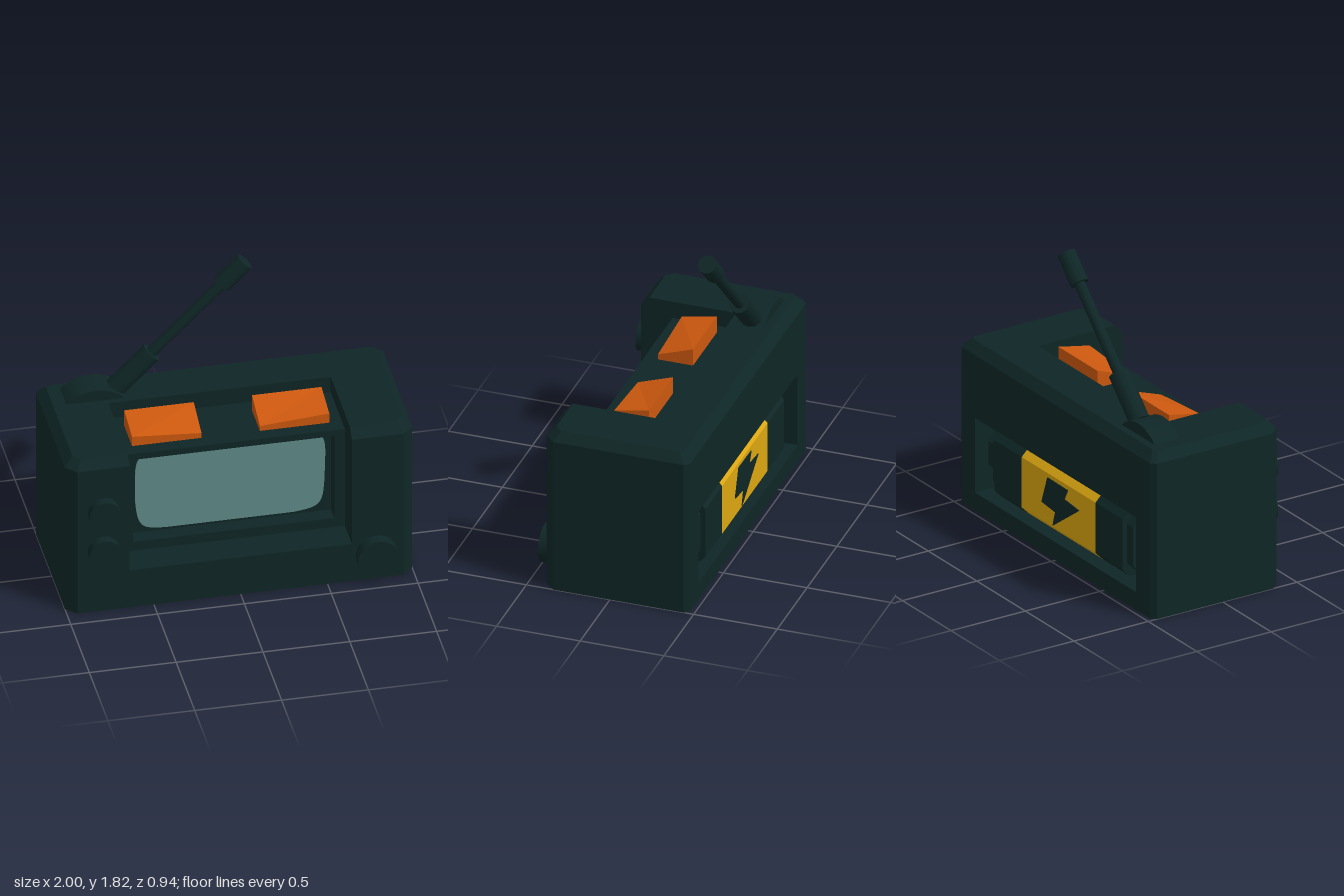
import * as THREE from 'three';

const mat = (name, color, extra = {}) => Object.assign(new THREE.MeshStandardMaterial({ color, ...extra }), { name });
const poly = pts => new THREE.Shape(pts.map(p => new THREE.Vector2(p[0], p[1])));

export function createModel() {
  const root = new THREE.Group();
  const casing = mat('dark casing', 0x0f2626);
  const orange = mat('orange button', 0xcc580f);
  const yellow = mat('yellow label', 0xdba612);
  const glass = mat('screen glass', 0x608c89);

  const add = (name, geo, material, x = 0, y = 0, z = 0, parent = root) => {
    const m = new THREE.Mesh(geo, material);
    m.name = name;
    m.position.set(x, y, z);
    parent.add(m);
    return m;
  };
  // box given by its limits
  const box = (name, x0, x1, y0, y1, z0, z1, material = casing) =>
    add(name, new THREE.BoxGeometry(x1 - x0, y1 - y0, z1 - z0), material, (x0 + x1) / 2, (y0 + y1) / 2, (z0 + z1) / 2);
  // rectangular frame extruded along z
  const frame = (name, w, y0, y1, hw, h0, h1, z0, depth) => {
    const s = poly([[-w, y0], [w, y0], [w, y1], [-w, y1]]);
    s.holes.push(new THREE.Path([[-hw, h0], [-hw, h1], [hw, h1], [hw, h0]].map(p => new THREE.Vector2(...p))));
    return add(name, new THREE.ExtrudeGeometry(s, { depth, bevelEnabled: false }), casing, 0, 0, z0);
  };

  // U-shaped shell: plan outline lofted upwards, with a chamfered top edge
  const mirrored = half => [...half, ...half.slice().reverse().map(([x, z]) => [-x, z])];
  const plan = mirrored([[0.64, -0.17], [0.64, 0.4], [0.94, 0.4], [1, 0.34], [1, -0.44], [0.97, -0.47]]);
  const topPlan = mirrored([[0.64, -0.17], [0.64, 0.35], [0.91, 0.35], [0.95, 0.31], [0.95, -0.4], [0.92, -0.42]]);
  const rings = [[plan, 0], [plan, 0.955], [topPlan, 1.01]].map(([p, y]) => p.map(([x, z]) => [x, y, z]));
  const pos = [];
  const tri = (a, b, c) => pos.push(...a, ...b, ...c);
  const n = plan.length;
  for (let k = 0; k < 2; k++) {
    for (let i = 0; i < n; i++) {
      if (k === 0 && i === 5) continue; // the rear wall is the battery bay panel
      const j = (i + 1) % n;
      const [a, b, c, d] = [rings[k][i], rings[k][j], rings[k + 1][j], rings[k + 1][i]];
      tri(a, b, c);
      tri(a, c, d);
    }
  }
  const cap = (ring, up) => {
    const flat = ring.map(p => new THREE.Vector2(p[0], -p[2]));
    for (const [a, b, c] of THREE.ShapeUtils.triangulateShape(flat, [])) {
      if (up) tri(ring[a], ring[b], ring[c]);
      else tri(ring[a], ring[c], ring[b]);
    }
  };
  cap(rings[2], true);
  cap(rings[0], false);
  const shell = new THREE.BufferGeometry();
  shell.setAttribute('position', new THREE.Float32BufferAttribute(pos, 3));
  shell.computeVertexNormals();
  add('bodyShell', shell, casing);

  // centre section between the side towers
  box('lowerFront', -0.64, 0.64, 0, 0.25, -0.17, 0.4);
  box('displayBlock', -0.64, 0.64, 0.25, 0.905, -0.17, 0.12);
  frame('displayFrame', 0.64, 0.25, 0.905, 0.58, 0.31, 0.865, 0.12, 0.09);

  // screen with softly rounded outline
  const s = new THREE.Shape();
  s.moveTo(-0.37, 0.86);
  s.bezierCurveTo(-0.52, 0.845, -0.545, 0.83, -0.55, 0.7);
  s.lineTo(-0.55, 0.53);
  s.bezierCurveTo(-0.535, 0.35, -0.52, 0.335, -0.36, 0.33);
  s.lineTo(0.36, 0.33);
  s.bezierCurveTo(0.52, 0.345, 0.53, 0.36, 0.54, 0.53);
  s.lineTo(0.545, 0.7);
  s.bezierCurveTo(0.545, 0.83, 0.53, 0.845, 0.38, 0.86);
  add('screen', new THREE.ExtrudeGeometry(s, { depth: 0.009, bevelEnabled: false }), glass, 0, 0, 0.121);

  // wedge buttons, lower at the front and the inner side
  for (const side of [-1, 1]) {
    const g = new THREE.BoxGeometry(0.4, 0.105, 0.21).toNonIndexed();
    const p = g.attributes.position;
    for (let i = 0; i < p.count; i++) {
      if (p.getY(i) > 0 && p.getZ(i) > 0) p.setY(i, p.getX(i) * side > 0 ? 0.01 : -0.02);
    }
    g.computeVertexNormals();
    add(side < 0 ? 'rightButton' : 'leftButton', g, orange, side * 0.368, 0.9575, 0.025);
  }

  // round knobs on the front
  for (const [name, x, y, r, d] of [
    ['upperKnob', -0.79, 0.67, 0.09, 0.055],
    ['lowerKnob', -0.79, 0.41, 0.09, 0.055],
    ['largeKnob', 0.78, 0.17, 0.118, 0.067],
  ]) {
    const g = new THREE.CylinderGeometry(r, r, d + 0.02, 32).rotateX(Math.PI / 2);
    add(name, g, casing, x, y, 0.4 + (d - 0.02) / 2);
  }

  // antenna: hinge disc and three rods along one line
  add('antennaHinge', new THREE.CylinderGeometry(0.24, 0.24, 0.17, 32).rotateX(Math.PI / 2), casing, -0.705, 0.84, -0.29);
  const antenna = new THREE.Group();
  antenna.name = 'antenna';
  antenna.position.set(-0.58, 1.03, -0.285);
  antenna.rotation.z = -Math.PI / 4;
  root.add(antenna);
  for (const [name, r, from, to] of [
    ['antennaSleeve', 0.06, 0, 0.3],
    ['antennaRod', 0.032, 0.29, 0.89],
    ['antennaTip', 0.054, 0.87, 1.062],
  ]) {
    add(name, new THREE.CylinderGeometry(r, r, to - from, 12), casing, 0, (from + to) / 2, 0, antenna);
  }

  // battery bay in the rear wall
  frame('rearPanel', 0.97, 0, 0.955, 0.83, 0.11, 0.57, -0.47, 0.24);
  box('bayFloor', -0.9, 0.9, 0.06, 0.62, -0.235, -0.2);

  // battery: chamfered bar along x with a label band in the middle
  const bar = (name, x0, x1, h, out, c, material) => {
    const prof = poly([[0.22, -h], [out - c, -h], [out, c - h], [out, h - c], [out - c, h], [0.22, h]]);
    const g = new THREE.ExtrudeGeometry(prof, { depth: x1 - x0, bevelEnabled: false }).rotateY(Math.PI / 2);
    return add(name, g, material, x0, 0.335, 0);
  };
  bar('batteryLabel', -0.38, 0.38, 0.205, 0.45, 0.05, yellow);
  for (const [side, from, to, h, out, name] of [
    [-1, 0.38, 0.66, 0.205, 0.45, 'batteryEnd'],
    [-1, 0.66, 0.72, 0.17, 0.42, 'batteryRim'],
    [-1, 0.72, 0.83, 0.12, 0.38, 'batteryContact'],
  ].flatMap(e => [e, [1, ...e.slice(1)]])) {
    bar(name, side < 0 ? -to : from, side < 0 ? -from : to, h, out, 0.05, casing);
  }

  // lightning bolt sign on the label
  const bolt = poly([[-0.17, -0.05], [-0.03, -0.065], [-0.056, -0.157], [0.216, 0.035], [0.064, 0.05], [0.1, 0.117], [-0.11, 0.12]]);
  add('boltSign', new THREE.ExtrudeGeometry(bolt, { depth: 0.006, bevelEnabled: false }).rotateY(Math.PI), casing, 0, 0.345, -0.449);

  return root;
}
